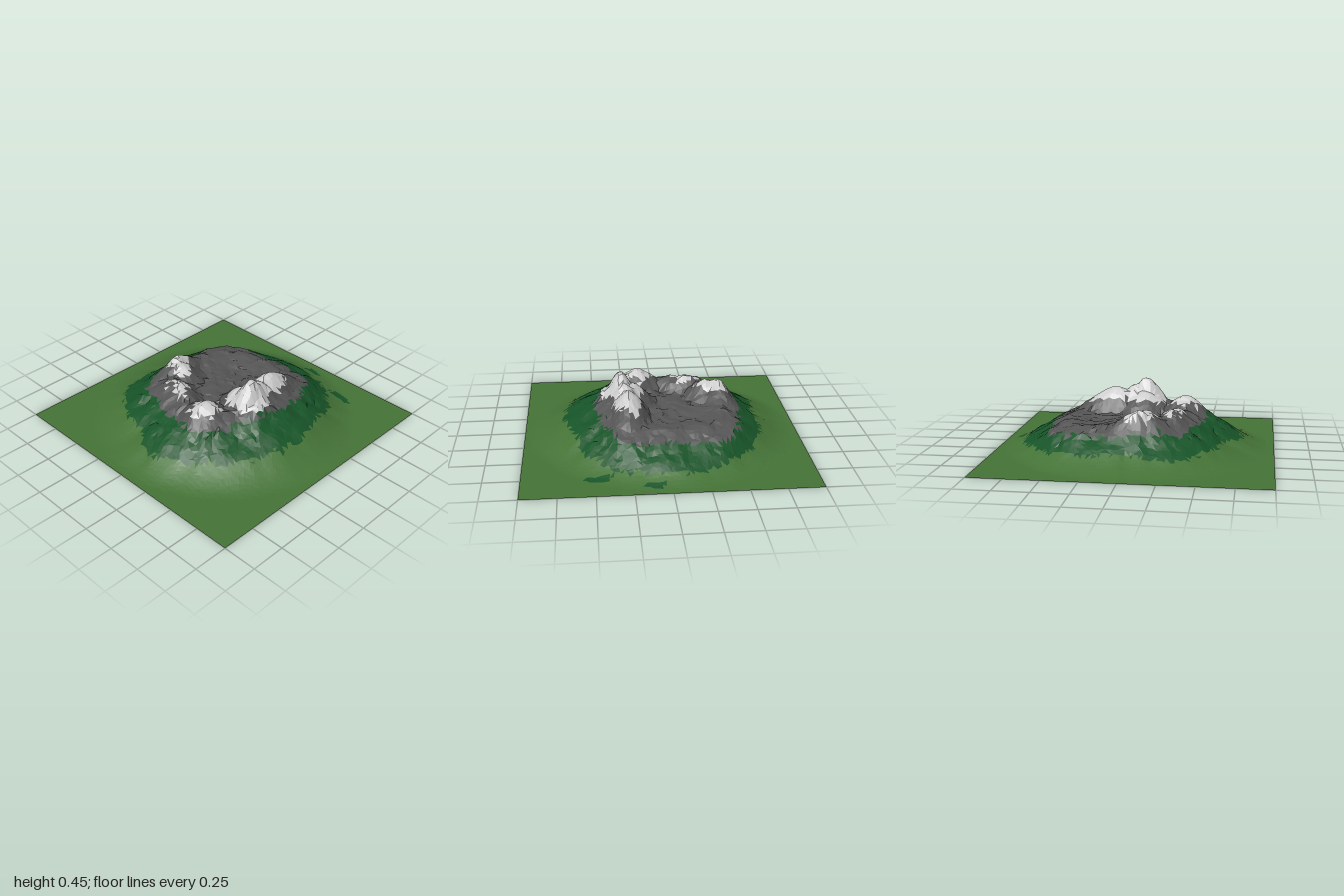
import * as THREE from 'three';

const SEG = 64;

// Contour lines around the mountain: [x, z, height]
const ROCK_LINE = [
  [0.48, 0, 0.24], [0.45, -0.25, 0.22], [0.37, -0.47, 0.19], [0.3, -0.6, 0.17], [0.12, -0.62, 0.17], [-0.15, -0.6, 0.17],
  [-0.44, -0.55, 0.17], [-0.54, -0.25, 0.19], [-0.56, 0, 0.2], [-0.53, 0.2, 0.2], [-0.47, 0.36, 0.19],
  [-0.28, 0.42, 0.21], [0, 0.48, 0.22], [0.13, 0.53, 0.22], [0.31, 0.47, 0.22], [0.36, 0.25, 0.23], [0.46, 0.13, 0.24],
];
const TREE_LINE = [
  [0.7, 0, 0.13], [0.65, -0.3, 0.11], [0.57, -0.5, 0.08], [0.43, -0.67, 0.06], [0, -0.83, 0.045],
  [-0.43, -0.7, 0.06], [-0.6, -0.5, 0.08], [-0.7, -0.27, 0.09], [-0.68, 0, 0.1], [-0.7, 0.33, 0.08],
  [-0.5, 0.54, 0.09], [-0.16, 0.63, 0.1], [-0.08, 0.75, 0.08], [0.2, 0.74, 0.08], [0.4, 0.6, 0.1], [0.62, 0.35, 0.11],
];
// Peaks: [x, z, summit height, x radius, z radius, sharpness (1 is a cone, higher is rounder)]
const PEAKS = [
  [0.295, 0.03, 0.485, 0.14, 0.19, 1], [0.25, -0.2, 0.405, 0.14, 0.26, 1.3], [0.27, -0.07, 0.4, 0.15, 0.2, 1.3],
  [0.23, 0.02, 0.36, 0.17, 0.2, 1.6], [0.42, 0.07, 0.33, 0.11, 0.16, 1.4],
  [-0.44, 0.06, 0.36, 0.14, 0.21, 1.3], [-0.36, 0.1, 0.335, 0.16, 0.16, 1.4],
  [-0.22, 0.27, 0.31, 0.16, 0.12, 1.6], [-0.1, 0.3, 0.315, 0.1, 0.11, 1.3], [0.15, 0.35, 0.355, 0.17, 0.18, 1.4],
];
// Stray clumps of trees below the tree line: [x, z, x radius, z radius]
const CLUMPS = [[0.1, -0.9, 0.07, 0.03], [0.48, -0.78, 0.1, 0.03]];

const hash = (i, j) => {
  const s = Math.sin(i * 127.1 + j * 311.7) * 43758.5453;
  return s - Math.floor(s);
};
const mix = (a, b, t) => a + (b - a) * t;
const smooth = t => t * t * (3 - 2 * t);

// Smooth value noise in -1..1
function noise(x, z) {
  const i = Math.floor(x), j = Math.floor(z), u = smooth(x - i), v = smooth(z - j);
  return 2 * mix(mix(hash(i, j), hash(i + 1, j), u), mix(hash(i, j + 1), hash(i + 1, j + 1), u), v) - 1;
}

// Radius and height of a contour in a given direction
function contour(points) {
  const polar = points
    .map(([x, z, h]) => ({ a: Math.atan2(z, x), r: Math.hypot(x, z), h }))
    .sort((p, q) => p.a - q.a);
  const first = polar[0], last = polar[polar.length - 1];
  const ring = [{ ...last, a: last.a - 2 * Math.PI }, ...polar, { ...first, a: first.a + 2 * Math.PI }];
  return angle => {
    let k = 1;
    while (ring[k].a < angle && k < ring.length - 1) k++;
    const p = ring[k - 1], q = ring[k], t = (angle - p.a) / (q.a - p.a);
    return { r: mix(p.r, q.r, t), h: mix(p.h, q.h, t) };
  };
}
const rockLine = contour(ROCK_LINE), treeLine = contour(TREE_LINE);

// Terrain height: slopes between contours, a sunken basin, then peaks
function height(x, z) {
  const r = Math.hypot(x, z), a = Math.atan2(z, x);
  const rock = rockLine(a), tree = treeLine(a), edge = 0.97;
  if (r >= edge) return 0;
  const rough = 0.5 * noise(x * 9, z * 9) + 0.5 * noise(x * 23 + 5, z * 23);
  const gully = noise(a * 9, r * 3);
  if (r > tree.r) {
    const t = (edge - r) / (edge - tree.r);
    return Math.max(0, tree.h * Math.pow(t, 1.65) + 0.008 * t * gully);
  }
  if (r > rock.r) {
    const t = (tree.r - r) / (tree.r - rock.r);
    return mix(tree.h, rock.h, t) + 0.008 * gully + 0.02 * Math.min(1, 2 * t) * rough;
  }
  const t = r / rock.r, rim = rock.h + 0.05;
  let h = t > 0.8 ? mix(rim, rock.h, (t - 0.8) / 0.2)
    : mix(0.215, rim, smooth(THREE.MathUtils.clamp((t - 0.35) / 0.45, 0, 1)));
  // Round bowl at the back of the basin
  const bowl = Math.hypot(x + 0.08, z + 0.28) / 0.24;
  if (bowl < 1) h -= 0.02 * smooth(1 - bowl);
  // Peaks fade out towards the foot of the rock
  const fade = Math.min(1, (1 - t) / 0.16);
  let lift = 0;
  for (const [px, pz, top, rx, rz, power] of PEAKS) {
    const d = Math.hypot((x - px) / rx, (z - pz) / rz);
    lift = Math.max(lift, mix(top, 0.24, Math.pow(d, power)) - h);
  }
  return h + lift * fade + 0.008 * gully * t + 0.02 * rough;
}

// Choose the ground cover of a triangle from its centre
function cover(x, y, z, id) {
  const r = Math.hypot(x, z), a = Math.atan2(z, x);
  const patch = noise(x * 14, z * 14);
  const jag = 0.03 * (hash(id, 3) - 0.5) + 0.02 * patch;
  if (r + jag < rockLine(a).r) return y + jag > 0.297 ? 'snow' : 'rock';
  if (r + jag < treeLine(a).r) return 'forest';
  const inClump = CLUMPS.some(([cx, cz, rx, rz]) => Math.hypot((x - cx) / rx, (z - cz) / rz) < 1);
  return inClump ? 'forest' : 'grass';
}

export function createModel() {
  const group = new THREE.Group();
  const colors = { grass: 0x457337, forest: 0x175428, rock: 0x555555, snow: 0xc8c8c8 };
  const faces = { grass: [], forest: [], rock: [], snow: [] };

  // Slightly irregular grid of ground points
  const point = (i, j) => {
    const inside = i > 0 && j > 0 && i < SEG && j < SEG ? 0.6 : 0;
    const x = -1 + (2 / SEG) * (i + inside * (hash(i, j) - 0.5));
    const z = -1 + (2 / SEG) * (j + inside * (hash(j + 91, i) - 0.5));
    return [x, height(x, z), z];
  };
  const grid = Array.from({ length: SEG + 1 }, (_, i) => Array.from({ length: SEG + 1 }, (_, j) => point(i, j)));

  const addTriangle = (p, q, s, id) => {
    const [x, y, z] = [0, 1, 2].map(k => (p[k] + q[k] + s[k]) / 3);
    faces[cover(x, y, z, id)].push(...p, ...q, ...s);
  };
  for (let i = 0; i < SEG; i++) {
    for (let j = 0; j < SEG; j++) {
      const a = grid[i][j], b = grid[i][j + 1], c = grid[i + 1][j + 1], d = grid[i + 1][j];
      const id = 2 * (i * SEG + j);
      if (hash(i + 7, j + 3) > 0.5) {
        addTriangle(a, b, c, id);
        addTriangle(a, c, d, id + 1);
      } else {
        addTriangle(a, b, d, id);
        addTriangle(b, c, d, id + 1);
      }
    }
  }

  // One faceted sheet per ground cover
  for (const name of Object.keys(faces)) {
    const geometry = new THREE.BufferGeometry();
    geometry.setAttribute('position', new THREE.Float32BufferAttribute(faces[name], 3));
    geometry.computeVertexNormals();
    const material = new THREE.MeshStandardMaterial({ color: colors[name], flatShading: true, side: THREE.DoubleSide });
    const mesh = new THREE.Mesh(geometry, material);
    mesh.name = name;
    group.add(mesh);
  }
  return group;
}
